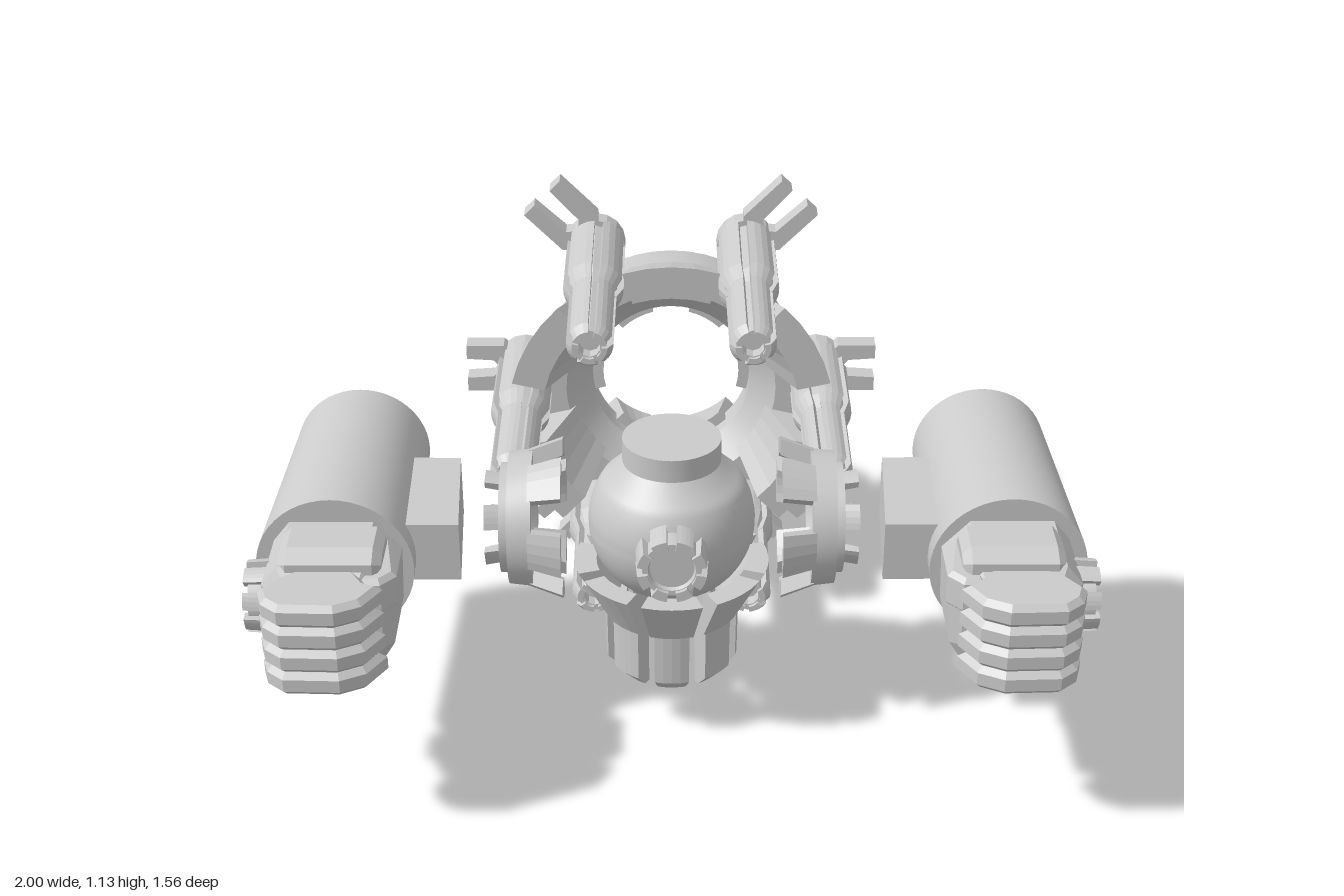
import * as THREE from 'three';
import { toCreasedNormals } from 'three/addons/utils/BufferGeometryUtils.js';

const smooth = new THREE.MeshStandardMaterial({ color: 0xcccccc });
const flat = new THREE.MeshStandardMaterial({ color: 0xcccccc, flatShading: true });
const CY = 0.52; // height of every main axis
const rad = THREE.MathUtils.degToRad;

function add(parent, name, geometry, material = flat, x = 0, y = 0, z = 0) {
  const mesh = new THREE.Mesh(geometry, material);
  mesh.name = name;
  mesh.position.set(x, y, z);
  parent.add(mesh);
  return mesh;
}

function group(parent, name, x = 0, y = 0, z = 0) {
  const g = new THREE.Group();
  g.name = name;
  g.position.set(x, y, z);
  parent.add(g);
  return g;
}

// Turned solid about the y axis, or about z when alongZ is set
function turned(points, segments = 48, alongZ = false) {
  const g = new THREE.LatheGeometry(points.map(p => new THREE.Vector2(p[0], p[1])), segments);
  if (alongZ) g.rotateX(Math.PI / 2);
  return toCreasedNormals(g, 0.5);
}

// Wedge of a ring about z: a and b are the end sections [z, inner radius, outer radius]
function sector(angle, half, a, b) {
  const g = new THREE.BoxGeometry(1, 1, 1, 4, 1, 1);
  const p = g.attributes.position;
  for (let i = 0; i < p.count; i++) {
    const e = p.getZ(i) < 0 ? a : b;
    const r = p.getY(i) < 0 ? e[1] : e[2];
    const t = rad(angle + p.getX(i) * 2 * half);
    p.setXYZ(i, r * Math.sin(t), r * Math.cos(t), e[0]);
  }
  g.computeVertexNormals();
  return g;
}

function sectors(parent, name, count, start, half, a, b) {
  for (let i = 0; i < count; i++) {
    add(parent, name, sector(start + i * 360 / count, half, a, b));
  }
}

function extrude(points, depth, bevel) {
  const shape = new THREE.Shape(points.map(p => new THREE.Vector2(p[0], p[1])));
  return new THREE.ExtrudeGeometry(shape, {
    depth, bevelEnabled: bevel > 0, bevelThickness: bevel, bevelSize: bevel,
    bevelOffset: -bevel, bevelSegments: 1,
  });
}

// Ring with six forward flaps and six backward teeth
function clawRing(parent, name) {
  const g = group(parent, name);
  add(g, 'ringBand', turned([
    [0.22, -0.08], [0.25, -0.105], [0.3, -0.105], [0.3, -0.06], [0.36, -0.06],
    [0.375, 0.07], [0.29, 0.07], [0.22, 0.0], [0.22, -0.08],
  ], 48, true), smooth);
  sectors(g, 'ringFlap', 6, 0, 17, [0.05, 0.27, 0.375], [0.23, 0.35, 0.44]);
  sectors(g, 'ringTooth', 6, 30, 15, [-0.185, 0.225, 0.265], [-0.04, 0.19, 0.24]);
  return g;
}

// Round badge with a notched edge, facing +z
function badge(parent, name) {
  const g = group(parent, name);
  add(g, 'badgeDisc', turned([[0, -0.03], [0.072, -0.03], [0.072, 0.035], [0.058, 0.035], [0.054, 0.025], [0, 0.025]], 32, true), smooth);
  sectors(g, 'badgeTooth', 8, 22.5, 14, [-0.03, 0.06, 0.09], [0.045, 0.06, 0.085]);
  return g;
}

// Ridged barrel with a forked plate at its back end
function barrel(parent, x, y, turn, reach) {
  const g = group(parent, 'barrel', x, y, 0);
  const spin = Math.atan2(x, y - CY) * 180 / Math.PI;
  add(g, 'barrelCore', turned([
    [0, -0.67], [0.066, -0.67], [0.066, -0.38], [0.045, -0.34],
    [0.045, -0.045], [0.028, -0.045], [0.028, -0.08], [0, -0.08],
  ], 10, true));
  sectors(g, 'rearRidge', 5, spin, 27, [-0.67, 0.03, 0.08], [-0.385, 0.03, 0.08]);
  sectors(g, 'taperRidge', 5, spin, 27, [-0.385, 0.03, 0.08], [-0.335, 0.03, 0.062]);
  sectors(g, 'frontRidge', 5, spin, 26, [-0.335, 0.03, 0.062], [-0.06, 0.03, 0.06]);
  sectors(g, 'muzzleRidge', 5, spin, 26, [-0.06, 0.03, 0.06], [-0.035, 0.03, 0.045]);
  const fork = group(g, 'fork', 0, 0, -0.683);
  fork.rotation.z = turn;
  add(fork, 'forkPlate', new THREE.CylinderGeometry(0.08, 0.08, 0.054, 16).rotateX(Math.PI / 2));
  for (const s of [-1, 1]) {
    const prong = [[0, 0.01], [0.06, 0.07], [reach, 0.07], [reach, 0.03], [0.09, 0.025], [0.07, 0], [0, 0]];
    add(fork, 'forkProng', extrude(prong.map(([u, v]) => [u, v * s]), 0.054, 0), flat, 0, 0, -0.027);
  }
}

// Forearm, hand and badge; s is the side
function arm(parent, s) {
  const g = group(parent, s > 0 ? 'leftArm' : 'rightArm', 0.81 * s, CY, 0);
  add(g, 'forearm', turned([
    [0, -0.13], [0.115, -0.13], [0.165, -0.195], [0.172, -0.195],
    [0.19, 0.405], [0.15, 0.405], [0, 0.405],
  ], 48, true), smooth);
  // link towards the shoulder, narrower at its back
  const link = [[-0.12, 0.01], [-0.275, 0.015], [-0.295, 0.345], [-0.12, 0.345]];
  add(g, 'armLink', extrude(link.map(([u, z]) => [u * s, z]), 0.155, 0).rotateX(Math.PI / 2), flat, 0, 0.085, 0);
  // palm
  const palm = [
    [-0.16, -0.08], [-0.12, -0.145], [0.1, -0.145], [0.14, -0.1],
    [0.14, 0.08], [0.1, 0.13], [-0.1, 0.13], [-0.165, 0.06],
  ];
  add(g, 'palm', extrude(palm.map(([u, y]) => [u * s, y]), 0.21, 0.025), flat, 0, 0, 0.395);
  // sloped guard over the knuckles
  const guard = [[0.45, 0.1], [0.475, 0.16], [0.57, 0.16], [0.615, 0.14], [0.615, 0.1]];
  add(g, 'knuckleGuard', extrude(guard.map(([z, y]) => [-z, y]), 0.2, 0.02).rotateY(Math.PI / 2), flat, -0.1 - 0.02 * s);
  // thumb folded along the inner side
  const thumb = [[-0.11, 0.44], [-0.15, 0.45], [-0.175, 0.6], [-0.14, 0.64], [-0.09, 0.64]];
  add(g, 'thumb', extrude(thumb.map(([u, z]) => [u * s, z]), 0.07, 0.012).rotateX(Math.PI / 2), flat, 0, 0.1, 0);
  // four curled fingers, stacked
  const finger = [
    [0.135, 0.68], [0.1, 0.63], [0.06, 0.6], [-0.08, 0.6], [-0.11, 0.65],
    [-0.15, 0.67], [-0.11, 0.74], [-0.05, 0.77], [0.08, 0.765], [0.12, 0.73],
  ];
  for (let i = 0; i < 4; i++) {
    add(g, 'finger', extrude(finger.map(([u, z]) => [u * s, z]), 0.032, 0.014).rotateX(Math.PI / 2),
      flat, 0, 0.108 - i * 0.061, 0);
  }
  const mark = badge(g, 'handBadge');
  mark.position.set(0.143 * s, 0, 0.525);
  mark.rotation.y = s * Math.PI / 2;
}

export function createModel() {
  const model = new THREE.Group();
  model.name = 'floatingMachine';

  // round body with a collar and cap on top
  const body = group(model, 'body', 0, CY, 0.165);
  const profile = [];
  for (let i = 0; i <= 24; i++) {
    const t = rad(-90 + i * 5.15);
    profile.push([Math.max(0, 0.208 * Math.cos(t)), 0.208 * Math.sin(t)]);
  }
  profile.push([0.163, 0.122], [0.122, 0.168], [0.122, 0.228], [0, 0.228]);
  add(body, 'bodyShell', turned(profile), smooth);
  badge(body, 'bodyBadge').position.z = 0.217;

  // skirt of eight hanging prongs with flared tops
  const skirt = group(body, 'skirt');
  skirt.rotation.x = Math.PI / 2;
  sectors(skirt, 'skirtFlare', 8, 0, 18, [0.12, 0.19, 0.245], [0.25, 0.115, 0.175]);
  sectors(skirt, 'skirtProng', 8, 0, 15, [0.22, 0.115, 0.17], [0.39, 0.115, 0.168]);
  sectors(skirt, 'skirtProngTip', 8, 0, 15, [0.39, 0.115, 0.168], [0.425, 0.115, 0.135]);

  // shoulder rings and arms
  for (const s of [-1, 1]) {
    const ring = clawRing(model, 'shoulderRing');
    ring.scale.setScalar(0.46);
    ring.position.set(0.376 * s, CY, 0.165);
    ring.rotation.set(0, -s * Math.PI / 2, Math.PI / 6);
    arm(model, s);
  }

  // back ring carrying six barrels
  clawRing(model, 'backRing').position.set(0, CY, -0.6);
  for (const s of [-1, 1]) {
    barrel(model, 0.41 * s, CY, s > 0 ? 0 : Math.PI, 0.165);
    for (const v of [-1, 1]) {
      barrel(model, 0.205 * s, CY + 0.37 * v, Math.atan2(v, s), 0.205);
    }
  }
  return model;
}
